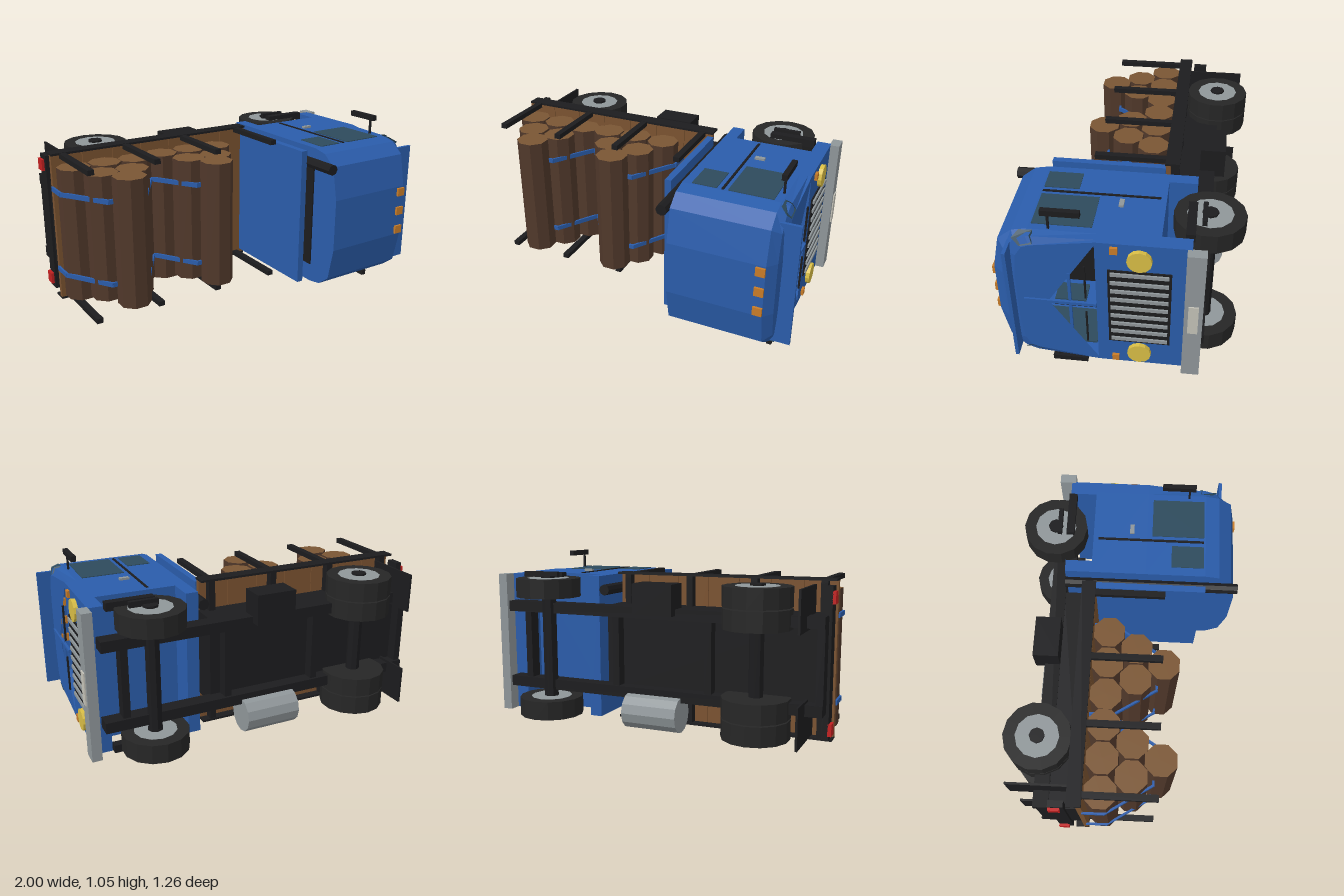
import * as THREE from 'three';

const mat = (color, side = THREE.FrontSide) => new THREE.MeshStandardMaterial({ color, flatShading: true, side });

export function createModel() {
  const model = new THREE.Group();
  // The truck lies on its side: nose +x, roof +z, width along y (v measured from its centre line).
  const truck = new THREE.Group();
  truck.name = 'truck';
  truck.position.y = 0.525;
  model.add(truck);

  const blue = mat(0x2a5caa), blueShell = mat(0x2a5caa, THREE.DoubleSide), black = mat(0x1c1c1e);
  const tyreMat = mat(0x262626), grey = mat(0x8f9699), deckMat = mat(0x7a5230), bark = mat(0x50382a);
  const cutWood = mat(0x7a5634), glass = mat(0x2d4a5c), yellow = mat(0xd8bd45), orange = mat(0xc87c28), red = mat(0xc22020);

  const add = (name, geo, m, x = 0, v = 0, z = 0) => {
    const mesh = new THREE.Mesh(geo, m);
    mesh.name = name;
    mesh.position.set(x, v, z);
    truck.add(mesh);
    return mesh;
  };
  // Box from its limits
  const box = (name, m, x0, x1, v0, v1, z0, z1) =>
    add(name, new THREE.BoxGeometry(x1 - x0, v1 - v0, z1 - z0), m, (x0 + x1) / 2, (v0 + v1) / 2, (z0 + z1) / 2);
  // Box on both sides of the truck
  const pair = (name, m, x0, x1, v0, v1, z0, z1) => {
    box(name, m, x0, x1, v0, v1, z0, z1);
    box(name, m, x0, x1, -v1, -v0, z0, z1);
  };
  const cyl = (r, h, n) => new THREE.CylinderGeometry(r, r, h, n);

  // Chassis
  pair('chassisRail', black, -0.97, 0.9, 0.195, 0.255, -0.465, -0.38);
  box('subframe', black, -0.97, 0.28, -0.25, 0.25, -0.39, -0.22);
  for (const x of [-0.95, -0.35, 0.2, 0.78]) box('crossMember', black, x - 0.02, x + 0.02, -0.2, 0.2, -0.45, -0.38);
  box('rearBeam', black, -0.985, -0.95, -0.4, 0.4, -0.37, -0.29);
  pair('tailLight', red, -1, -0.98, 0.31, 0.375, -0.37, -0.31);
  pair('mudFlap', black, -0.88, -0.868, 0.18, 0.4, -0.6, -0.27);
  box('batteryBox', black, -0.17, 0.06, 0.22, 0.39, -0.52, -0.38);
  add('fuelTank', cyl(0.1, 0.32, 12), grey, -0.04, -0.325, -0.45).rotation.z = Math.PI / 2;

  // Wheels: single in front, double at the rear
  for (const s of [-1, 1]) {
    for (const [x, v] of [[0.63, 0.345], [-0.62, 0.345], [-0.62, 0.232]]) {
      add('tyre', cyl(0.183, 0.106, 14), tyreMat, x, s * v, -0.453);
    }
    for (const x of [0.63, -0.62]) {
      add('rim', cyl(0.118, 0.108, 12), grey, x, s * 0.345, -0.453);
      add('hub', cyl(0.042, 0.13, 8), black, x, s * 0.345, -0.453);
    }
  }
  for (const x of [0.63, -0.62]) add('axle', cyl(0.04, 0.6, 8), black, x, 0, -0.453);

  // Flat bed with stakes and headboard
  for (let i = 0; i < 7; i++) {
    const x = -0.985 + i * 0.18;
    box('deckPlank', deckMat, x, x + 0.177, -0.42, 0.42, -0.225, -0.198);
  }
  pair('bedSideRail', black, -0.985, 0.275, 0.418, 0.43, -0.275, -0.196);
  for (const x of [-0.92, -0.545, -0.17, 0.21]) {
    pair('stake', black, x - 0.018, x + 0.018, 0.4, 0.428, -0.27, 0.195);
    box('bedBearer', black, x - 0.018, x + 0.018, -0.41, 0.41, -0.27, -0.22);
  }
  box('headboard', blue, 0.243, 0.28, -0.395, 0.405, -0.2, 0.42);

  // Two log piles with straps
  const logGeo = cyl(0.092, 1, 8);
  const lengths = [0.75, 0.72, 0.74, 0.71, 0.73, 0.72];
  for (const cx of [-0.715, -0.185]) {
    [[-0.18, -0.107], [0, -0.107], [0.18, -0.107], [-0.09, 0.05], [0.09, 0.05], [0, 0.203]].forEach(([dx, z], i) => {
      const log = add('log', logGeo, [bark, cutWood, cutWood], cx + dx, i % 2 ? 0.01 : -0.005, z);
      log.scale.y = lengths[i];
      log.rotation.y = Math.PI / 8;
    });
    const path = [[-0.272, -0.2], [-0.272, -0.085], [-0.11, 0.17], [0.11, 0.17], [0.272, -0.085], [0.272, -0.2]];
    for (const v of [-0.235, 0.235]) {
      for (let i = 0; i < 5; i++) {
        const [ax, az] = path[i], [bx, bz] = path[i + 1];
        const strap = add('strap', new THREE.BoxGeometry(Math.hypot(bx - ax, bz - az) + 0.01, 0.026, 0.012), blue,
          cx + (ax + bx) / 2, v, (az + bz) / 2);
        strap.rotation.y = -Math.atan2(bz - az, bx - ax);
      }
    }
  }

  // Cab shell lofted through half cross-sections [v, z], mirrored
  const full = [[0.41, -0.23], [0.41, 0.08], [0.41, 0.42], [0.395, 0.5], [0.335, 0.575], [0.15, 0.612]];
  const sections = [
    [0.34, full], [0.865, full],
    [0.91, [[0.41, -0.23], [0.41, 0.08], [0.4, 0.42], [0.375, 0.48], [0.305, 0.535], [0.15, 0.56]]],
    [0.93, [[0.41, -0.23], [0.41, 0.08], [0.36, 0.4], [0.345, 0.44], [0.29, 0.475], [0.15, 0.49]]],
  ].map(([x, half]) => ({ x, ring: [...half, ...half.map(([v, z]) => [-v, z]).reverse()] }));
  const pos = [];
  for (let i = 0; i < sections.length - 1; i++) {
    const a = sections[i], b = sections[i + 1], n = a.ring.length;
    for (let j = 0; j < n; j++) {
      const k = (j + 1) % n;
      const p = (s, q) => [s.x, ...s.ring[q]];
      pos.push(...p(a, j), ...p(b, j), ...p(b, k), ...p(a, j), ...p(b, k), ...p(a, k));
    }
  }
  const shell = new THREE.BufferGeometry();
  shell.setAttribute('position', new THREE.Float32BufferAttribute(pos, 3));
  shell.computeVertexNormals();
  add('cabShell', shell, blueShell);

  // End panels lie in the y-z plane; the front has a triangular opening
  const panel = (name, { x, ring }, hole) => {
    const shape = new THREE.Shape(ring.map(p => new THREE.Vector2(...p)));
    if (hole) shape.holes.push(new THREE.Path(hole.map(p => new THREE.Vector2(...p))));
    const geo = new THREE.ShapeGeometry(shape);
    geo.applyMatrix4(new THREE.Matrix4().set(0, 0, 1, x, 1, 0, 0, 0, 0, 1, 0, 0, 0, 0, 0, 1));
    add(name, geo, blueShell);
  };
  panel('cabBack', sections[0]);
  panel('cabFront', sections[3], [[0, 0.33], [-0.39, 0.085], [0.39, 0.085]]);
  box('cabInterior', black, 0.36, 0.38, -0.38, 0.38, -0.2, 0.46);
  box('rearWindow', black, 0.332, 0.342, -0.3, 0.3, 0.0, 0.42);
  box('cabRearSkirt', blue, 0.34, 0.41, -0.41, 0.41, -0.38, -0.23);
  box('cabFrontSkirt', blue, 0.85, 0.93, -0.41, 0.41, -0.38, -0.23);

  // Windscreen bars, wipers and visor
  box('windscreenPost', blue, 0.925, 0.94, -0.009, 0.009, 0.085, 0.455);
  box('windscreenBar', blue, 0.92, 0.932, -0.2, 0.2, 0.212, 0.227);
  pair('wiper', black, 0.934, 0.944, 0.05, 0.26, 0.132, 0.141);
  box('sunVisor', blue, 0.89, 1, -0.355, 0.355, 0.5, 0.518);

  // Nose: grille, lamps and bumper
  box('grille', black, 0.925, 0.937, -0.25, 0.245, -0.29, 0.025);
  for (let i = -4; i <= 4; i++) box('grilleSlat', grey, 0.93, 0.946, i * 0.056 - 0.01, i * 0.056 + 0.01, -0.277, 0.012);
  for (const s of [-1, 1]) add('headlight', cyl(0.062, 0.03, 12), yellow, 0.938, s * 0.322, -0.133).rotation.z = Math.PI / 2;
  pair('indicator', orange, 0.925, 0.945, 0.355, 0.393, -0.027, 0.01);
  box('bumper', grey, 0.925, 0.98, -0.41, 0.41, -0.45, -0.357);
  box('numberPlate', mat(0xc4c2b8), 0.975, 0.987, -0.092, 0.09, -0.428, -0.377);
  for (const v of [-0.118, 0, 0.118]) box('roofLight', orange, 0.815, 0.865, v - 0.024, v + 0.024, 0.595, 0.625);

  // Cab sides
  pair('doorWindow', glass, 0.585, 0.825, 0.4, 0.414, -0.11 + 0.22, 0.41);
  pair('sideWindow', glass, 0.39, 0.525, 0.4, 0.414, 0.225, 0.41);
  pair('doorSeam', black, 0.55, 0.563, 0.4, 0.415, -0.2, 0.41);
  pair('doorHandle', grey, 0.595, 0.65, 0.405, 0.422, -0.02, -0.005 + 0.01);
  pair('upperStep', black, 0.58, 0.84, 0.38, 0.425, -0.388, -0.342);
  pair('lowerStep', black, 0.58, 0.735, 0.39, 0.43, -0.44, -0.415);
  pair('mirrorArm', black, 0.845, 0.856, 0.4, 0.5, 0.314, 0.325);
  pair('mirror', black, 0.838, 0.866, 0.494, 0.525, 0.16, 0.353);
  // Corner glass wrapping onto the front
  for (const s of [-1, 1]) {
    const q = [[0.872, 0.41, 0.39], [0.909, 0.403, 0.4], [0.928, 0.365, 0.385], [0.926, 0.345, 0.45], [0.908, 0.38, 0.49], [0.872, 0.405, 0.46]];
    const tri = [];
    for (let i = 1; i < 5; i++) for (const p of [q[0], q[i], q[i + 1]]) tri.push(p[0] + 0.004, s * (p[1] + 0.005), p[2]);
    const geo = new THREE.BufferGeometry();
    geo.setAttribute('position', new THREE.Float32BufferAttribute(tri, 3));
    geo.computeVertexNormals();
    add('cornerWindow', geo, mat(0x2d4a5c, THREE.DoubleSide));
  }

  // Exhaust stack behind the cab
  add('exhaustStack', cyl(0.031, 0.99, 8), black, 0.308, 0.333, 0.115).rotation.x = Math.PI / 2;
  return model;
}
